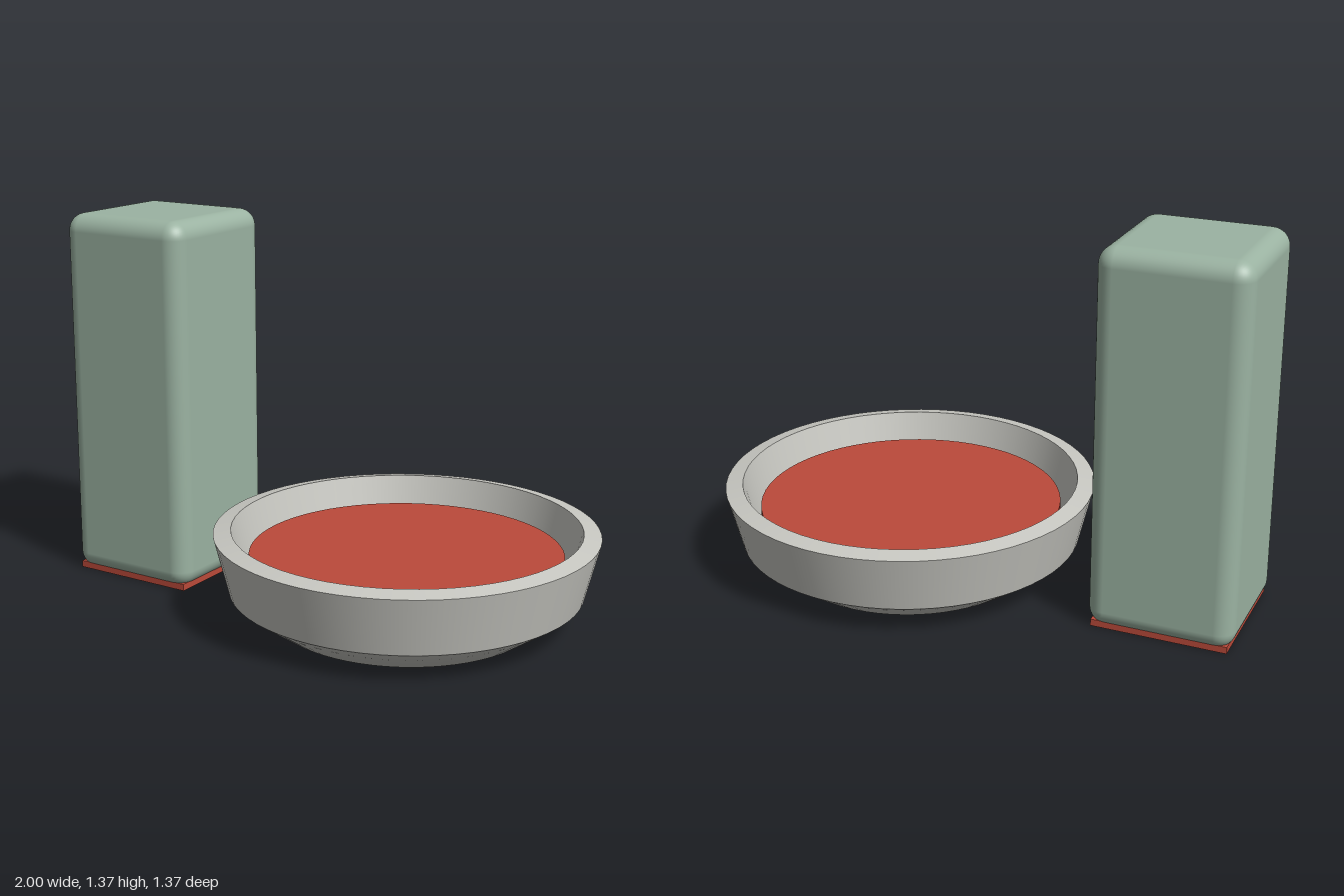
import * as THREE from 'three';
import { RoundedBoxGeometry } from 'three/addons/geometries/RoundedBoxGeometry.js';

const material = (name, color, extra = {}) => {
  const m = new THREE.MeshStandardMaterial({ color, ...extra });
  m.name = name;
  return m;
};

export function createModel() {
  const green = material('sage green', 0x9bb3a2);
  const red = material('ink red', 0xbb4a3a);
  const grey = material('warm grey', 0xc8c8c2);

  const model = new THREE.Group();
  model.name = 'stampAndInkDish';

  const add = (parent, name, geometry, mat, x = 0, y = 0) => {
    const mesh = new THREE.Mesh(geometry, mat);
    mesh.name = name;
    mesh.position.set(x, y, 0);
    parent.add(mesh);
  };

  // Seal stamp: rounded block with an inked face underneath
  const stamp = new THREE.Group();
  stamp.name = 'stamp';
  stamp.position.x = -0.7375;
  add(stamp, 'stampBody', new RoundedBoxGeometry(0.525, 1.367, 0.525, 5, 0.065), green, 0, 0.6865);
  add(stamp, 'stampFace', new THREE.BoxGeometry(0.49, 0.025, 0.49), red, 0, 0.0125);
  model.add(stamp);

  // Ink dish: each profile run is smooth, with sharp edges between runs
  const dish = new THREE.Group();
  dish.name = 'inkDish';
  dish.position.x = 0.317;
  const runs = {
    dishBase: [[0, 0], [0.475, 0], [0.63, 0.107]],
    dishOuterWall: [[0.63, 0.107], [0.683, 0.317]],
    dishRim: [[0.683, 0.317], [0.62, 0.33]],
    dishInnerWall: [[0.62, 0.33], [0.566, 0.11]],
    dishFloor: [[0.566, 0.11], [0, 0.11]],
  };
  for (const [name, points] of Object.entries(runs)) {
    const profile = points.map(([r, y]) => new THREE.Vector2(r, y));
    add(dish, name, new THREE.LatheGeometry(profile, 64), grey);
  }

  // Ink pad sitting on the dish floor
  add(dish, 'inkPad', new THREE.CylinderGeometry(0.558, 0.558, 0.125, 64), red, 0, 0.1735);
  model.add(dish);

  return model;
}
